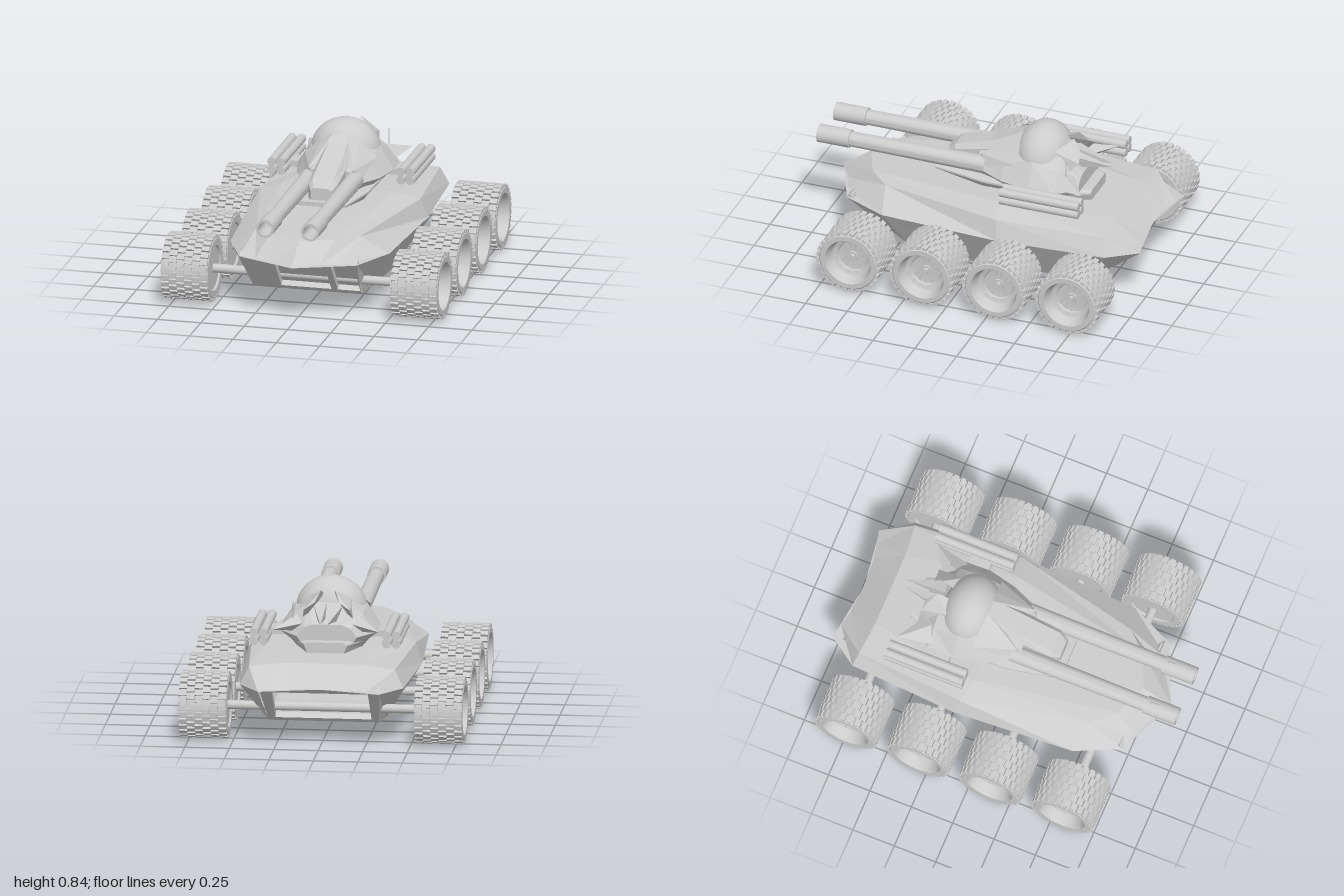
import * as THREE from 'three';
import { mergeGeometries, toCreasedNormals } from 'three/addons/utils/BufferGeometryUtils.js';
import { ConvexGeometry } from 'three/addons/geometries/ConvexGeometry.js';

const smooth = new THREE.MeshStandardMaterial({ color: 0xcccccc, side: THREE.DoubleSide });
const flat = new THREE.MeshStandardMaterial({ color: 0xcccccc, side: THREE.DoubleSide, flatShading: true });

function add(parent, name, geometry, material = flat) {
  const mesh = new THREE.Mesh(geometry, material);
  mesh.name = name;
  parent.add(mesh);
  return mesh;
}

// Skin over half cross-sections (top centre to bottom centre), mirrored in x, front to rear
function loft(halves, capped) {
  const rings = halves.map(h => [...h, ...h.slice(1, -1).reverse().map(([x, y, z]) => [-x, y, z])]);
  const n = rings[0].length, index = [];
  for (let i = 0; i < rings.length - 1; i++) {
    for (let j = 0; j < n; j++) {
      const a = i * n + j, b = i * n + (j + 1) % n;
      index.push(a, b, b + n, a, b + n, a + n);
    }
  }
  if (capped) {
    const r = (rings.length - 1) * n;
    for (let j = 1; j < n - 1; j++) index.push(0, j + 1, j, r, r + j, r + j + 1);
  }
  const g = new THREE.BufferGeometry();
  g.setAttribute('position', new THREE.Float32BufferAttribute(rings.flat(2), 3));
  g.setIndex(index);
  const out = g.toNonIndexed();
  out.computeVertexNormals();
  return out;
}

// Convex solid on side s, from points given for the left side
const solid = (points, s = 1) => new ConvexGeometry(points.map(([x, y, z]) => new THREE.Vector3(x * s, y, z)));

// Round part lying along z or x
function rod(r0, r1, length, axis, sides = 20) {
  const g = new THREE.CylinderGeometry(r1, r0, length, sides);
  return axis === 'z' ? g.rotateX(Math.PI / 2) : g.rotateZ(-Math.PI / 2);
}

// Sloped end panel with rectangular openings [x0, x1] between 9% and 91% of its height
function endFrame(name, z, dz, openings, closed) {
  const dy = 0.23, len = Math.hypot(dy, dz);
  const shape = new THREE.Shape([[-0.31, 0], [0.31, 0], [0.34, len], [-0.34, len]].map(p => new THREE.Vector2(...p)));
  for (const [a, b] of openings) {
    const lo = len * 0.09, hi = len * 0.91;
    shape.holes.push(new THREE.Path([[a, lo], [a, hi], [b, hi], [b, lo]].map(p => new THREE.Vector2(...p))));
  }
  const group = new THREE.Group();
  group.name = name;
  const depth = 0.035;
  add(group, 'frame', new THREE.ExtrudeGeometry(shape, { depth, bevelEnabled: false }).translate(0, 0, -depth));
  if (closed) add(group, 'recessPanel', new THREE.BoxGeometry(0.64, len * 0.9, 0.01).translate(0, len / 2, -depth - 0.005));
  group.rotation.set(Math.atan2(dz, dy), 0, 0);
  group.position.set(0, 0.1, z);
  return group;
}

function buildHull() {
  const hull = new THREE.Group();
  hull.name = 'hull';
  add(hull, 'hullShell', loft([
    [[0, 0.335, 0.91], [0.14, 0.335, 0.82], [0.24, 0.333, 0.79], [0.34, 0.33, 0.76], [0.31, 0.1, 0.56], [0, 0.1, 0.56]],
    [[0, 0.44, 0.74], [0.19, 0.44, 0.66], [0.3, 0.43, 0.54], [0.46, 0.33, 0.5], [0.33, 0.09, 0.38], [0, 0.09, 0.38]],
    [[0, 0.48, -0.15], [0.33, 0.48, -0.15], [0.46, 0.44, -0.18], [0.5, 0.33, -0.2], [0.34, 0.07, -0.05], [0, 0.07, -0.05]],
    [[0, 0.45, -0.79], [0.22, 0.45, -0.79], [0.41, 0.43, -0.81], [0.46, 0.33, -0.83], [0.33, 0.085, -0.5], [0, 0.085, -0.5]],
    [[0, 0.345, -0.95], [0.17, 0.34, -0.96], [0.26, 0.335, -0.98], [0.34, 0.33, -1], [0.31, 0.1, -0.7], [0, 0.1, -0.7]],
  ], false));
  add(hull, 'noseLip', solid([[0, 0.33, 0.905], [0.14, 0.33, 0.815], [-0.14, 0.33, 0.815],
    [0.34, 0.327, 0.755], [-0.34, 0.327, 0.755], [0, 0.32, 0.75]]));
  for (const s of [1, -1]) {
    add(hull, 'rearLip', solid([[0, 0.338, -0.948], [0.34, 0.328, -0.995], [0.34, 0.325, -0.93], [0, 0.32, -0.93]], s));
  }
  hull.add(endFrame('frontPanel', 0.56, 0.2, [[-0.32, -0.18], [-0.145, 0.145], [0.18, 0.32]], true));
  const rear = new THREE.Group();
  rear.name = 'rearPanel';
  rear.rotation.y = Math.PI;
  rear.add(endFrame('rearOpening', 0.7, 0.24, [[-0.27, 0.27]], false));
  hull.add(rear);
  return hull;
}

function wheelGeometry() {
  const profile = [[0, -0.125], [0.12, -0.125], [0.13, -0.135], [0.165, -0.135], [0.175, -0.125], [0.175, 0.125],
    [0.165, 0.135], [0.137, 0.135], [0.13, 0.12], [0.115, 0.07], [0.09, 0.06], [0.085, 0.05], [0.03, 0.05],
    [0.028, 0.056], [0.016, 0.056], [0.014, 0.075], [0, 0.075]];
  const body = toCreasedNormals(new THREE.LatheGeometry(profile.map(p => new THREE.Vector2(...p)), 40), 0.5);
  const parts = [body.rotateZ(-Math.PI / 2)];
  // Staggered tread blocks
  const rows = 6, count = 28;
  for (let r = 0; r < rows; r++) {
    for (let i = 0; i < count; i++) {
      const block = new THREE.BoxGeometry(0.043, 0.018, 0.028).toNonIndexed();
      block.translate((r - (rows - 1) / 2) * 0.0445, 0.179, 0);
      parts.push(block.rotateX((i + (r % 2) * 0.5) / count * Math.PI * 2));
    }
  }
  return mergeGeometries(parts);
}

function buildTurret() {
  const turret = new THREE.Group();
  turret.name = 'turret';
  // Half section with top, shoulder, waist and base corners
  const section = (z, t, s, m, b) => [[0, t[1], z], ...[t, s, m, b].map(([x, y]) => [x, y, z]), [0, b[1], z]];
  add(turret, 'turretBase', loft([[0.3, 0.15], [0, 0.21], [-0.42, 0.22], [-0.62, 0.12]].map(([z, w]) =>
    section(z, [w * 0.8, 0.53], [w, 0.52], [w, 0.51], [w * 0.85, z > 0.2 ? 0.505 : 0.47])), true));
  add(turret, 'turretBody', loft([
    section(0.05, [0.06, 0.65], [0.11, 0.64], [0.16, 0.57], [0.12, 0.5]),
    section(-0.13, [0.1, 0.72], [0.17, 0.67], [0.24, 0.56], [0.18, 0.5]),
    section(-0.3, [0.12, 0.74], [0.2, 0.69], [0.28, 0.56], [0.2, 0.5]),
    section(-0.45, [0.12, 0.72], [0.19, 0.66], [0.275, 0.56], [0.2, 0.5]),
    section(-0.56, [0.08, 0.62], [0.13, 0.6], [0.17, 0.55], [0.14, 0.51]),
  ], true));
  add(turret, 'snout', loft([
    section(0.26, [0.04, 0.6], [0.06, 0.585], [0.06, 0.53], [0.045, 0.505]),
    section(0.21, [0.06, 0.64], [0.085, 0.615], [0.085, 0.53], [0.06, 0.5]),
    section(0, [0.06, 0.7], [0.09, 0.66], [0.09, 0.53], [0.06, 0.5]),
    section(-0.13, [0.055, 0.755], [0.08, 0.72], [0.09, 0.53], [0.06, 0.5]),
    section(-0.2, [0.045, 0.79], [0.065, 0.76], [0.07, 0.53], [0.06, 0.5]),
  ], true));
  const dome = add(turret, 'dome', new THREE.SphereGeometry(1, 40, 24), smooth);
  dome.scale.set(0.2, 0.19, 0.16);
  dome.position.set(0, 0.655, -0.3);

  const barrelProfile = [[0.05, 0], [0.043, 0.81], [0.052, 0.81], [0.052, 1], [0.039, 1], [0.037, 0.84], [0, 0.84]];
  const barrel = toCreasedNormals(new THREE.LatheGeometry(barrelProfile.map(p => new THREE.Vector2(...p)), 32), 0.5);
  barrel.rotateX(Math.PI / 2);

  for (const s of [1, -1]) {
    const side = new THREE.Group();
    side.name = s > 0 ? 'leftArmament' : 'rightArmament';
    turret.add(side);
    add(side, 'cannon', barrel, smooth).position.set(s * 0.13, 0.58, 0);
    add(side, 'muzzleVent', new THREE.CapsuleGeometry(0.01, 0.035, 4, 10).rotateX(Math.PI / 2), smooth)
      .position.set(s * 0.13, 0.627, 0.86);
    add(side, 'cheekPlate', solid([[0.04, 0.79, -0.18], [0.11, 0.75, -0.2], [0.13, 0.645, 0.03],
      [0.08, 0.6, 0.06], [0.17, 0.59, -0.01], [0.21, 0.66, -0.2]], s));
    // Collar and swept spikes behind the dome
    add(side, 'collarHorn', solid([[0.04, 0.8, -0.49], [0.03, 0.76, -0.4], [0.12, 0.74, -0.4],
      [0.13, 0.7, -0.55], [0.07, 0.74, -0.54], [0.15, 0.6, -0.46]], s));
    add(side, 'centreSpike', solid([[0.01, 0.72, -0.46], [0.08, 0.71, -0.48], [0.06, 0.63, -0.5],
      [0.01, 0.64, -0.5], [0.02, 0.655, -0.71]], s));
    add(side, 'outerSpike', solid([[0.14, 0.67, -0.42], [0.26, 0.59, -0.43], [0.16, 0.56, -0.47],
      [0.12, 0.62, -0.52], [0.3, 0.6, -0.63]], s));
    // Four-tube launcher on its arm
    for (const dx of [-0.027, 0.027]) {
      for (const dy of [-0.024, 0.024]) {
        add(side, 'launcherTube', rod(0.025, 0.025, 0.47, 'z', 16), smooth).position.set(s * (0.373 + dx), 0.563 + dy, -0.42);
      }
    }
    add(side, 'launcherArm', new THREE.BoxGeometry(0.2, 0.035, 0.12)).position.set(s * 0.27, 0.545, -0.37);
  }
  add(turret, 'antenna', new THREE.CylinderGeometry(0.003, 0.004, 0.14, 8), smooth).position.set(0.197, 0.665, -0.5);
  return turret;
}

export function createModel() {
  const model = new THREE.Group();
  model.name = 'eightWheeledTank';
  model.add(buildHull(), buildTurret());
  const wheel = wheelGeometry();
  for (const z of [0.575, 0.138, -0.297, -0.733]) {
    add(model, 'axle', rod(0.025, 0.025, 1.1, 'x'), smooth).position.set(0, 0.189, z);
    for (const s of [1, -1]) {
      const w = add(model, 'wheel', wheel, smooth);
      w.position.set(s * 0.662, 0.189, z);
      if (s < 0) w.rotation.y = Math.PI;
    }
  }
  return model;
}
